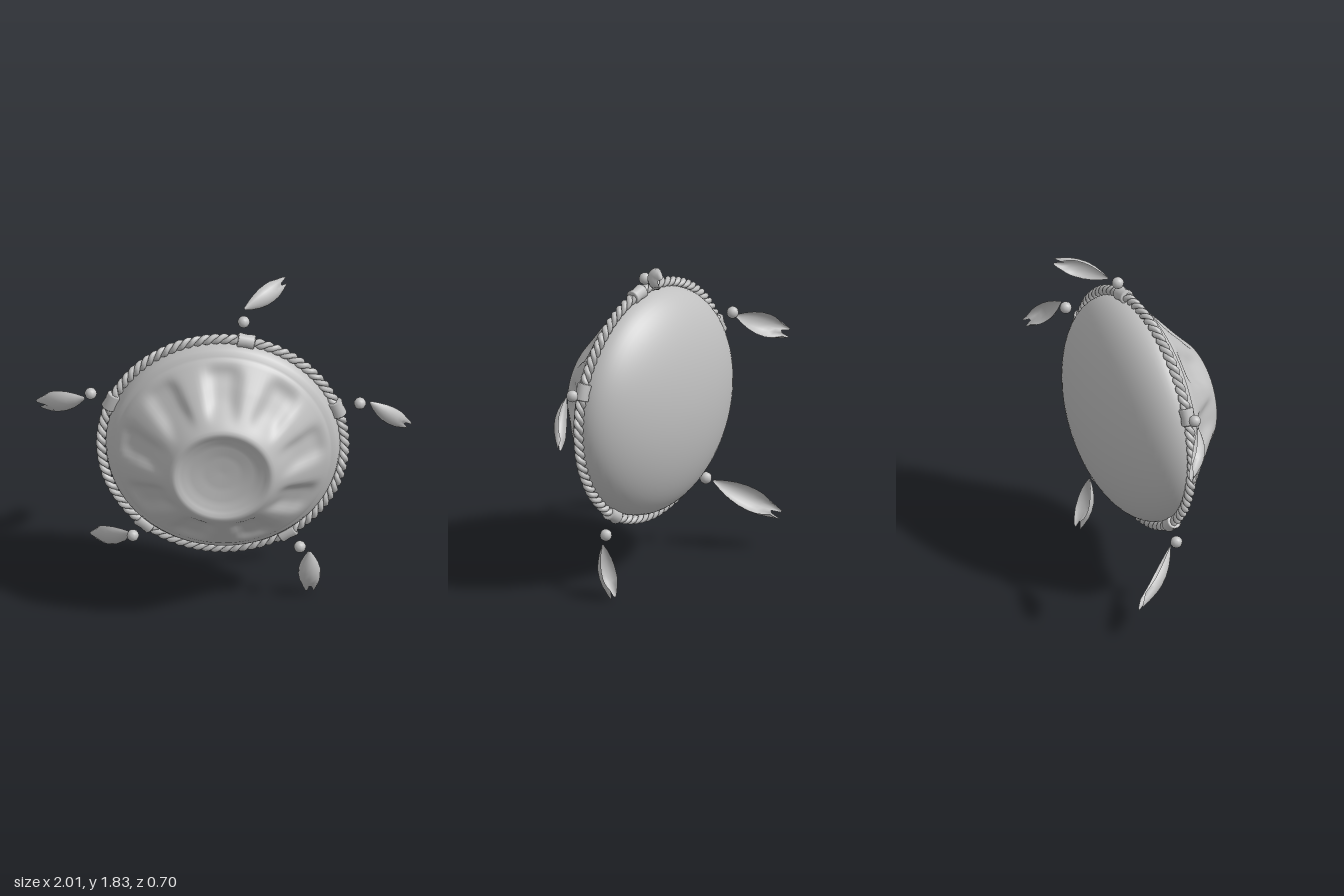
import * as THREE from 'three';
import { mergeVertices } from 'three/addons/utils/BufferGeometryUtils.js';

const CY = 0.98;      // height of the drum centre
const ROPE_R = 0.648; // radius of the rope ring

const grey = new THREE.MeshStandardMaterial({ color: 0xc0c0c0 });
grey.name = 'grey';
const greyThin = grey.clone();
greyThin.side = THREE.DoubleSide;

function add(parent, name, geometry, material = grey) {
  const mesh = new THREE.Mesh(geometry, material);
  mesh.name = name;
  parent.add(mesh);
  return mesh;
}

// Drum: domed back, sloped front with nine pressed dimples and a shallow centre dish
function drumGeometry() {
  const profile = [];
  for (let i = 0; i <= 18; i++) {
    const a = (i / 18) * Math.PI / 2;
    profile.push(new THREE.Vector2(0.625 * Math.sin(a), -0.283 * Math.cos(a)));
  }
  const front = [[0.625, 0], [0.617, 0.035], [0.598, 0.066], [0.582, 0.072], [0.565, 0.095],
    [0.45, 0.202], [0.285, 0.345], [0.27, 0.356], [0.25, 0.356], [0.232, 0.344],
    [0.18, 0.326], [0.1, 0.314], [0, 0.31]];
  for (let i = 1; i < front.length; i++) {
    const [r0, z0] = front[i - 1], [r1, z1] = front[i];
    const n = Math.max(1, Math.round(Math.hypot(r1 - r0, z1 - z0) / 0.016));
    for (let k = 1; k <= n; k++) {
      profile.push(new THREE.Vector2(r0 + (r1 - r0) * k / n, z0 + (z1 - z0) * k / n));
    }
  }
  let g = new THREE.LatheGeometry(profile, 144);
  g.rotateX(Math.PI / 2);
  g.deleteAttribute('uv');
  g.deleteAttribute('normal');
  g = mergeVertices(g, 1e-5);
  const p = g.attributes.position;
  const step = Math.PI * 2 / 9;
  for (let i = 0; i < p.count; i++) {
    const x = p.getX(i), y = p.getY(i), z = p.getZ(i), r = Math.hypot(x, y);
    if (z < 0.06 || r < 0.28) continue;
    const a = Math.atan2(y, x) - Math.PI / 2;
    const off = a - Math.round(a / step) * step;
    const u = (r - 0.435) / 0.1, v = off * r / (0.085 + 0.12 * (r - 0.43));
    p.setZ(i, z - 0.045 * Math.exp(-(u ** 4) - v ** 4));
  }
  g.computeVertexNormals();
  return g;
}

// Twisted strand that winds around the ring
class Strand extends THREE.Curve {
  constructor(phase) {
    super();
    this.phase = phase;
  }
  getPoint(t, target = new THREE.Vector3()) {
    const a = t * Math.PI * 2, w = a * 42 + this.phase;
    const r = ROPE_R + 0.014 * Math.cos(w);
    return target.set(r * Math.cos(a), r * Math.sin(a), 0.013 * Math.sin(w));
  }
}

// Feather: cupped blade along +y with a ragged forked tip, convex towards +z
function featherGeometry(length, width) {
  const outline = [0.1, 0.5, 0.8, 0.97, 1, 0.93, 0.75, 0.5];
  const tip = [-0.16, -0.04, 0, -0.13, -0.15, -0.03, -0.02, -0.1, -0.2];
  const rows = outline.length, cols = tip.length, pos = [], index = [];
  for (let j = 0; j < rows; j++) {
    const t = j / (rows - 1), w = outline[j] * width / 2;
    for (let i = 0; i < cols; i++) {
      const a = (i / (cols - 1) - 0.5) * 3.3;
      const ragged = tip[i] * Math.max(0, t - 0.6) / 0.4;
      pos.push(w * Math.sin(a), length * (t + ragged),
        w * 0.85 * (Math.cos(a) - 0.45) + 0.025 * Math.sin(Math.PI * t) - 0.01);
      if (i && j) {
        const d = j * cols + i, c = d - 1, b = d - cols, e = b - 1;
        index.push(e, b, d, e, d, c);
      }
    }
  }
  const g = new THREE.BufferGeometry();
  g.setAttribute('position', new THREE.Float32BufferAttribute(pos, 3));
  g.setIndex(index);
  g.computeVertexNormals();
  return g;
}

// Cuff angle in degrees, bead centre, feather base, feather tip, feather width
const charms = [
  [79, [0.11, 1.71, -0.04], [0.12, 1.755, -0.09], [0.34, 1.805, -0.31], 0.115],
  [20, [0.73, 1.22, -0.02], [0.785, 1.225, -0.01], [0.995, 1.01, -0.125], 0.1],
  [302, [0.41, 0.335, -0.005], [0.46, 0.295, -0.01], [0.46, 0.005, -0.09], 0.12],
  [230, [-0.48, 0.4, -0.005], [-0.495, 0.385, -0.04], [-0.705, 0.195, -0.34], 0.125],
  [156.5, [-0.705, 1.275, -0.015], [-0.74, 1.245, -0.005], [-0.995, 1.11, -0.18], 0.125],
];

export function createModel() {
  const model = new THREE.Group();
  model.name = 'featheredDrum';

  add(model, 'drumBody', drumGeometry()).position.y = CY;

  // Rope of two twisted strands
  const rope = new THREE.Group();
  rope.name = 'rope';
  rope.position.y = CY;
  model.add(rope);
  for (const phase of [0, Math.PI]) {
    add(rope, 'ropeStrand', new THREE.TubeGeometry(new Strand(phase), 504, 0.0155, 7, true));
  }

  // Cuff, bead and feather at each hanging point
  const cuffProfile = [[0, -0.046], [0.034, -0.046], [0.04, -0.04], [0.036, 0],
    [0.04, 0.04], [0.034, 0.046], [0, 0.046]].map(([r, y]) => new THREE.Vector2(r, y));
  const up = new THREE.Vector3(0, 1, 0);
  for (const [deg, bead, base, tip, width] of charms) {
    const charm = new THREE.Group();
    charm.name = 'charm';
    model.add(charm);

    const a = THREE.MathUtils.degToRad(deg);
    const cuff = add(charm, 'cuff', new THREE.LatheGeometry(cuffProfile, 14));
    cuff.position.set(ROPE_R * Math.cos(a), CY + ROPE_R * Math.sin(a), 0);
    cuff.rotation.z = a;

    add(charm, 'bead', new THREE.SphereGeometry(0.033, 10, 8)).position.set(...bead);

    const from = new THREE.Vector3(...base);
    const along = new THREE.Vector3(...tip).sub(from);
    const length = along.length();
    along.normalize();
    const side = new THREE.Vector3().crossVectors(along, new THREE.Vector3(0, 0, 1)).normalize();
    const facing = new THREE.Vector3().crossVectors(side, along);
    const feather = add(charm, 'feather', featherGeometry(length, width), greyThin);
    feather.position.copy(from);
    feather.quaternion.setFromRotationMatrix(new THREE.Matrix4().makeBasis(side, along, facing));
  }
  return model;
}
